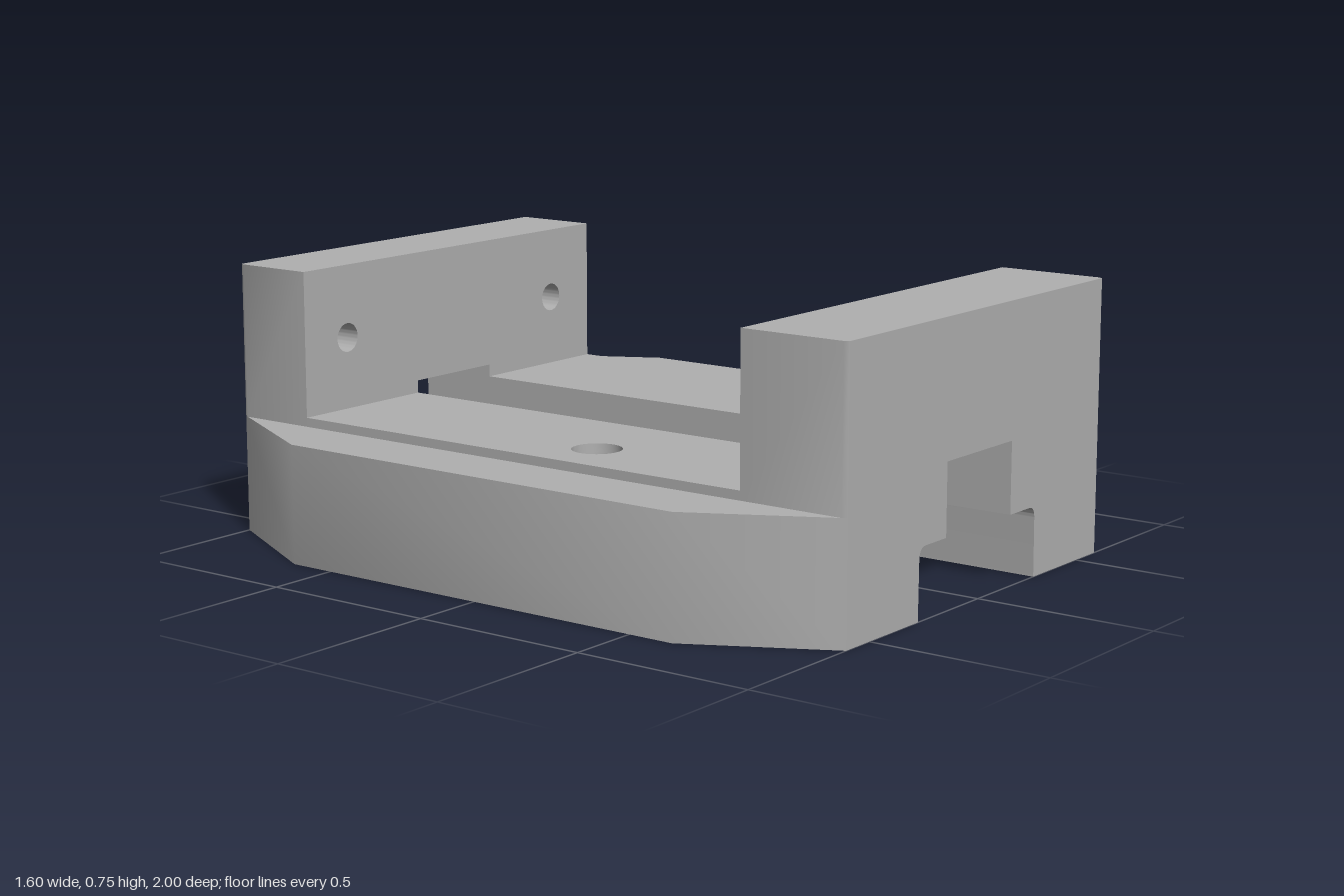
import * as THREE from 'three';
import { toCreasedNormals } from 'three/addons/utils/BufferGeometryUtils.js';

const WING_TOP = 0.325, PLATE_TOP = 0.35, WALL_TOP = 0.75;
const FRONT_INNER = 0.69, BACK_INNER = -0.76;
const SLOT = 0.155, GROOVE = 0.28, GROOVE_TOP = 0.19, FILLET = 0.03;
const JOIN = 0.34, BODY = 0.607, HOLE_X = 0.438;
const SHIFT = -0.003; // slight sideways offset of the slot and holes

const polygon = (points) => new THREE.Shape(points.map(([x, y]) => new THREE.Vector2(x, y)));

function addHole(shape, x, y, radius) {
  const hole = new THREE.Path();
  hole.absarc(x, y, radius, 0, Math.PI * 2, true);
  shape.holes.push(hole);
}

function extrude(shape, depth, steps = 1) {
  return new THREE.ExtrudeGeometry(shape, { depth, steps, bevelEnabled: false, curveSegments: 24 });
}

// Extrudes an (x, z) outline upwards between two heights
function extrudePlan(shape, bottom, top) {
  return extrude(shape, top - bottom).rotateX(Math.PI / 2).translate(0, top, 0);
}

export function createModel() {
  const model = new THREE.Group();
  const grey = new THREE.MeshStandardMaterial({ color: 0xb0b0b0 });
  grey.name = 'grey metal';

  function add(name, geometry) {
    const mesh = new THREE.Mesh(toCreasedNormals(geometry, 0.5), grey);
    mesh.name = name;
    model.add(mesh);
  }

  for (const [side, s] of [['left', 1], ['right', -1]]) {
    const at = (x) => s * x + SHIFT;

    // Chamfered outer half of the base, with a vertical bolt hole
    const wing = polygon([
      [at(JOIN), 1], [s * 0.6, 1], [s * 0.8, 0.63],
      [s * 0.8, -0.63], [s * 0.6, -1], [at(JOIN), -1],
    ]);
    addHole(wing, at(HOLE_X), 0.115, 0.067);
    add(side + 'Wing', extrudePlan(wing, 0, WING_TOP));

    // Stepped rail beside the slot, with a filleted groove
    const rail = new THREE.Shape();
    rail.moveTo(at(JOIN), 0);
    rail.lineTo(at(JOIN), WING_TOP);
    rail.lineTo(at(SLOT), WING_TOP);
    rail.lineTo(at(SLOT), GROOVE_TOP);
    rail.lineTo(at(GROOVE - FILLET), GROOVE_TOP);
    rail.quadraticCurveTo(at(GROOVE - 0.004), GROOVE_TOP, at(GROOVE - 0.002), GROOVE_TOP - FILLET);
    rail.lineTo(at(GROOVE), 0);
    add(side + 'Rail', extrude(rail, 2).translate(0, 0, -1));

    // Raised bed plate between the end walls
    const plate = polygon([
      [at(SLOT), FRONT_INNER], [s * BODY, FRONT_INNER],
      [s * BODY, BACK_INNER], [at(SLOT), BACK_INNER],
    ]);
    addHole(plate, at(HOLE_X), 0.115, 0.067);
    add(side + 'BedPlate', extrudePlan(plate, WING_TOP, PLATE_TOP));
  }

  // Notched end walls; the back one has two cross holes
  function addWall(name, inner, end, drilled) {
    const wall = polygon([
      [-BODY, WING_TOP], [SHIFT - SLOT, WING_TOP], [SHIFT - SLOT, 0.385],
      [SHIFT + SLOT, 0.385], [SHIFT + SLOT, WING_TOP], [BODY, WING_TOP],
      [BODY, WALL_TOP], [-BODY, WALL_TOP],
    ]);
    if (drilled) for (const s of [-1, 1]) addHole(wall, s * HOLE_X + SHIFT, 0.548, 0.04);
    const depth = Math.abs(end - inner);
    const geometry = extrude(wall, depth, 2).translate(0, 0, Math.min(inner, end));
    // Trim the outer corners along the chamfer of the base
    const p = geometry.attributes.position;
    const middle = (inner + end) / 2;
    for (let i = 0; i < p.count; i++) {
      if (Math.abs(p.getZ(i) - middle) < 0.01) p.setZ(i, end * 0.987);
      else if (Math.abs(p.getZ(i) - end) < 0.001 && Math.abs(p.getX(i)) > 0.6) {
        p.setX(i, Math.sign(p.getX(i)) * 0.6);
      }
    }
    geometry.computeVertexNormals();
    add(name, geometry);
  }
  addWall('frontWall', FRONT_INNER, 1, false);
  addWall('backWall', BACK_INNER, -1, true);

  return model;
}
